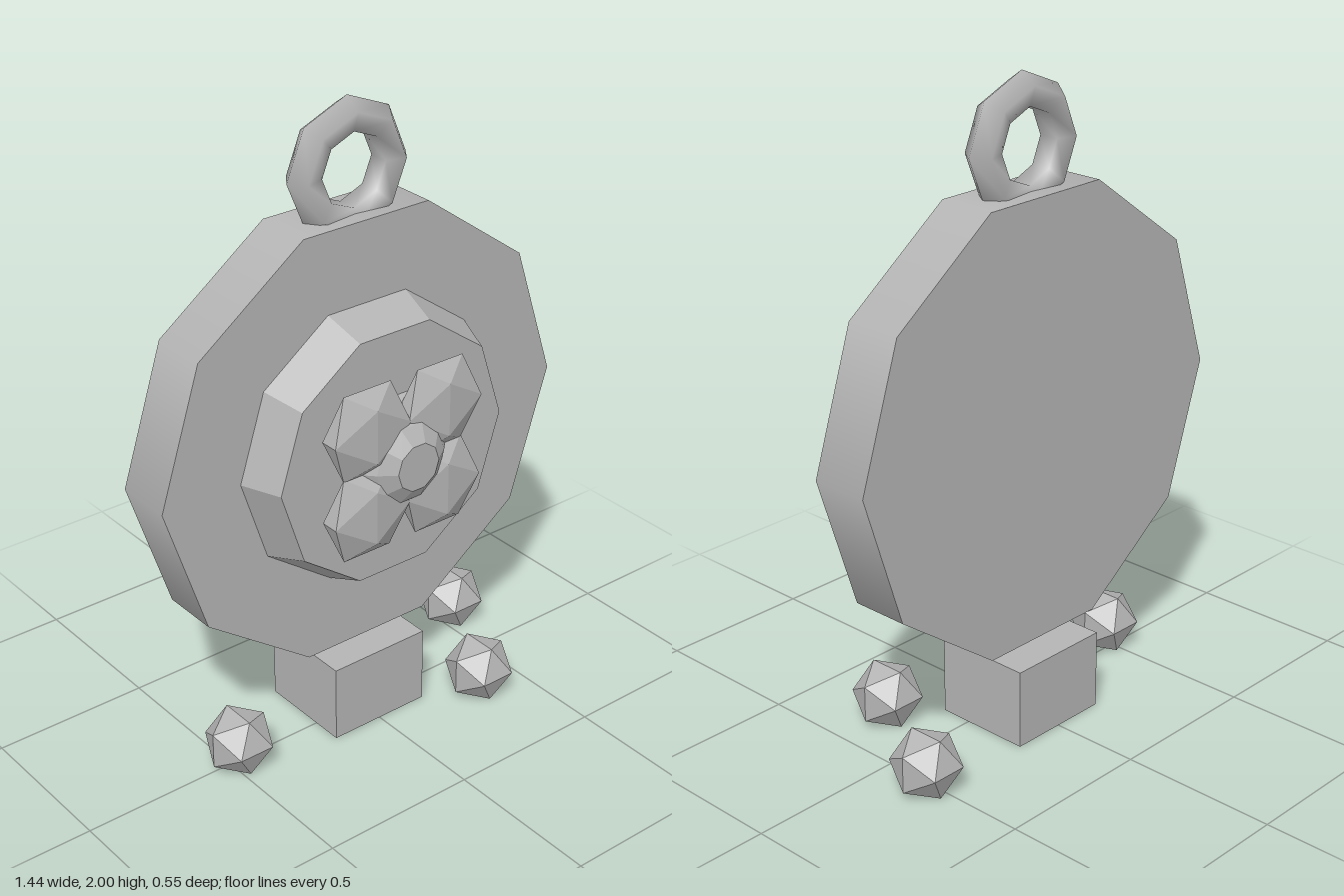
import * as THREE from 'three';

export function createModel() {
  const root = new THREE.Group();
  root.name = 'medallion';
  const smooth = new THREE.MeshStandardMaterial({ color: 0xb4b4b4 });
  smooth.name = 'plain grey';
  const faceted = smooth;
  const centreY = 0.977;

  function add(name, geometry, x, y, z, material = smooth) {
    const mesh = new THREE.Mesh(geometry, material);
    mesh.name = name;
    mesh.position.set(x, y, z);
    root.add(mesh);
    return mesh;
  }

  // Ten-sided disc or frustum facing +z, spanning z0 to z1
  function disc(name, rBack, rFront, z0, z1, flat) {
    let g = new THREE.CylinderGeometry(rFront, rBack, z1 - z0, 10, 1, false, Math.PI / 2);
    g.rotateX(Math.PI / 2);
    if (flat) {
      g = g.toNonIndexed();
      g.computeVertexNormals();
    }
    return add(name, g, 0, centreY, (z0 + z1) / 2);
  }

  // Main plate and raised bezel
  disc('plate', 0.72, 0.72, -0.15, 0.035, false);
  disc('bezel', 0.457, 0.407, 0.03, 0.16, true);

  // Flower: four flattened petals around a stepped boss
  for (const sx of [-1, 1]) {
    for (const sy of [-1, 1]) {
      const petal = add('petal', new THREE.IcosahedronGeometry(0.16), sx * 0.133, centreY + sy * 0.131, 0.2, faceted);
      petal.scale.z = 0.35;
    }
  }
  disc('bossBase', 0.2, 0.125, 0.155, 0.235, true);
  disc('bossCap', 0.125, 0.075, 0.235, 0.27, true);

  // Hanging ring
  add('hangingRing', new THREE.TorusGeometry(0.156, 0.054, 5, 8), 0, 1.79, -0.055);

  // Foot block
  add('footBlock', new THREE.BoxGeometry(0.344, 0.25, 0.315), 0, 0.13, -0.057);

  // Loose gems around the foot
  for (const [x, z] of [[-0.48, 0.02], [0.333, 0.185], [0.532, -0.182]]) {
    add('gem', new THREE.IcosahedronGeometry(0.11), x, 0.098, z, faceted).rotation.y = Math.PI / 2;
  }

  return root;
}
